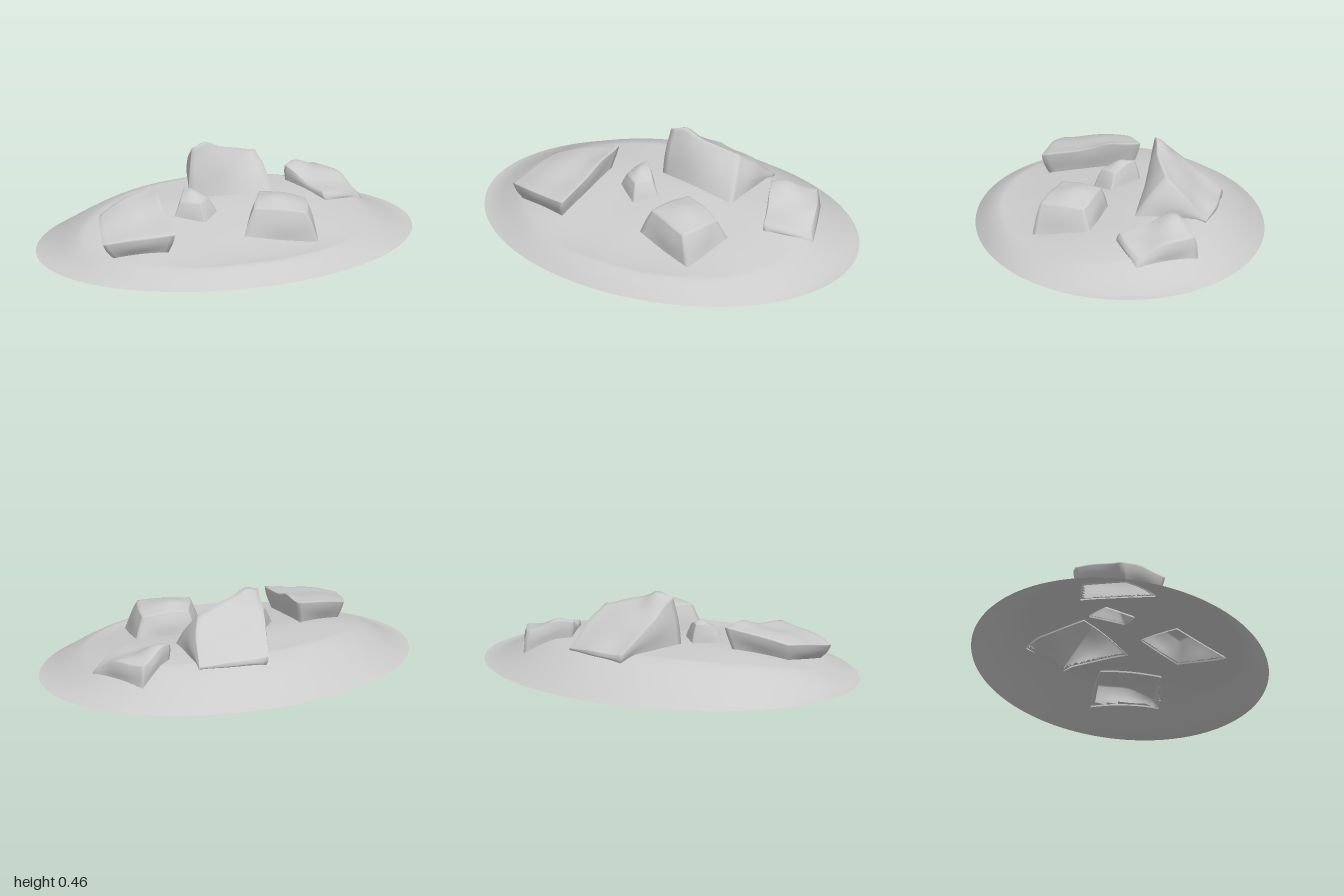
import * as THREE from 'three';
import { mergeVertices } from 'three/addons/utils/BufferGeometryUtils.js';

const material = new THREE.MeshStandardMaterial({ color: 0xcccccc, side: THREE.DoubleSide });
const { lerp, smoothstep } = THREE.MathUtils;

// Smooth repeatable unevenness, about -1..1
const bumps = (x, y, z) =>
  (Math.sin(13 * x + 5 * z + 1) + Math.sin(11 * y - 9 * x + 2) + Math.sin(14 * z + 8 * y + 4)) / 3;

// Height of the ground: oval rim, steep front, long back slope
function ground(x, z) {
  const uz = z / 0.735, r = Math.min(1, Math.hypot(x, uz));
  const dir = uz / Math.max(r, 0.001);
  const side = x > 0 ? 0.27 : 0.2;
  const width = dir > 0 ? lerp(side, 0.17, dir) : lerp(side, 0.42, -dir);
  const t = Math.min(1, (1 - r) / width);
  const ramp = lerp(t, Math.sin(t * Math.PI / 2), 0.6);
  const plateau = 0.185 - 0.1 * smoothstep(z, -0.15, 0.58) * (1 - 0.6 * x * x)
    - 0.17 * Math.abs(x) ** 3;
  return 0.01 + ramp * (plateau + 0.005 * bumps(x, 0, z));
}

// Indexed positions only, without the faces whose centre fails the test
function bare(source, keep) {
  source.deleteAttribute('uv');
  source.deleteAttribute('normal');
  const geo = mergeVertices(source, 1e-5);
  const p = geo.attributes.position, idx = geo.index.array, kept = [];
  const centre = new THREE.Vector3(), v = new THREE.Vector3();
  for (let i = 0; i < idx.length; i += 3) {
    const face = [idx[i], idx[i + 1], idx[i + 2]];
    centre.set(0, 0, 0);
    face.forEach((k) => centre.addScaledVector(v.fromBufferAttribute(p, k), 1 / 3));
    if (keep(centre)) kept.push(...face);
  }
  geo.setIndex(kept);
  geo.clearGroups();
  return geo;
}

// Is the point inside the four-cornered footprint?
const inside = (foot, x, z) => foot.every(([ax, az], k) => {
  const [bx, bz] = foot[(k + 1) % 4];
  return (bx - ax) * (z - az) - (bz - az) * (x - ax) > 0;
});

// Open sheet of ground with a hole under each hollow rock
function mound(feet) {
  const disc = new THREE.RingGeometry(0.001, 1, 128, 64);
  disc.rotateX(-Math.PI / 2).scale(1, 1, 0.735);
  const geo = bare(disc, (c) => !feet.some((foot) => inside(foot, c.x, c.z)));
  const p = geo.attributes.position;
  for (let i = 0; i < p.count; i++) p.setY(i, ground(p.getX(i), p.getZ(i)));
  geo.computeVertexNormals();
  return geo;
}

// Worn hollow block from a footprint [x, z] on the ground to top corners [x, y, z],
// both in the order back left, back right, front right, front left.
// Each peak [x, z, rise, radius] swells the top.
function rock({ foot, top, peaks = [], round = 0.25, rough = 0.013 }) {
  const geo = bare(new THREE.BoxGeometry(2, 2, 2, 14, 14, 14), (c) => c.y > -0.999);
  const p = geo.attributes.position, v = new THREE.Vector3();
  for (let i = 0; i < p.count; i++) {
    v.fromBufferAttribute(p, i);
    const up = (v.y + 1) / 2;
    const ball = v.clone().normalize();
    v.lerp(ball, round * (0.4 + 0.6 * up)).multiplyScalar(1.1);
    const a = (v.x + 1) / 2, d = (v.z + 1) / 2;
    const b = lerp(up, (v.y + 1) / 2, up);
    const weights = [(1 - a) * (1 - d), a * (1 - d), a * d, (1 - a) * d];
    let x = 0, z = 0, topY = 0;
    weights.forEach((w, k) => {
      x += w * lerp(foot[k][0], top[k][0], b);
      z += w * lerp(foot[k][1], top[k][2], b);
      topY += w * top[k][1];
    });
    let y = lerp(ground(x, z) - 0.008, topY, b);
    for (const [px, pz, rise, radius] of peaks) {
      y += rise * b * Math.exp(-((x - px) ** 2 + (z - pz) ** 2) / radius ** 2);
    }
    const n = rough * up * bumps(x * 1.6, y * 1.6, z * 1.6);
    p.setXYZ(i, x + ball.x * n, y + ball.y * n, z + ball.z * n);
  }
  geo.computeVertexNormals();
  return geo;
}

const rocks = {
  // Tall wedge: steep front, long slope down the back
  tallBackRock: {
    foot: [[0.05, -0.5], [0.36, -0.4], [0.3, -0.06], [-0.11, -0.16]],
    top: [[0.03, 0.21, -0.52], [0.38, 0.18, -0.42], [0.28, 0.385, -0.21], [-0.1, 0.45, -0.18]],
    peaks: [[-0.02, -0.21, 0.045, 0.06]], round: 0.22,
  },
  frontRock: {
    foot: [[0.14, 0.08], [0.4, 0.19], [0.31, 0.46], [-0.02, 0.31]],
    top: [[0.14, 0.28, 0.1], [0.36, 0.25, 0.21], [0.27, 0.26, 0.43], [0.03, 0.27, 0.3]],
    peaks: [[0.17, 0.21, 0.025, 0.1]],
  },
  // Leaning slab, raised toward the middle
  leftSlabRock: {
    foot: [[-0.65, 0], [-0.4, -0.08], [-0.47, 0.31], [-0.71, 0.23]],
    top: [[-0.68, 0.23, -0.04], [-0.36, 0.31, -0.13], [-0.45, 0.22, 0.36], [-0.79, 0.18, 0.24]],
    peaks: [[-0.36, 0.04, 0.02, 0.08]], round: 0.18,
  },
  rightRock: {
    foot: [[0.46, -0.23], [0.67, -0.34], [0.78, -0.03], [0.55, 0.05]],
    top: [[0.45, 0.24, -0.23], [0.66, 0.21, -0.34], [0.77, 0.14, -0.04], [0.54, 0.19, 0.04]],
    peaks: [[0.54, -0.23, 0.045, 0.09], [0.73, -0.17, 0.02, 0.08]],
  },
  smallRock: {
    foot: [[-0.28, 0.01], [-0.17, -0.11], [-0.06, 0.04], [-0.16, 0.12]],
    top: [[-0.25, 0.24, 0.01], [-0.18, 0.29, -0.09], [-0.1, 0.25, 0.02], [-0.17, 0.25, 0.08]],
    peaks: [[-0.18, -0.01, 0.025, 0.05]], rough: 0.008,
  },
};

export function createModel() {
  const group = new THREE.Group();
  group.name = 'rockyMound';
  const add = (name, geometry) => {
    const mesh = new THREE.Mesh(geometry, material);
    mesh.name = name;
    group.add(mesh);
  };
  add('groundMound', mound(Object.values(rocks).map((r) => r.foot)));
  for (const [name, shape] of Object.entries(rocks)) add(name, rock(shape));
  return group;
}
